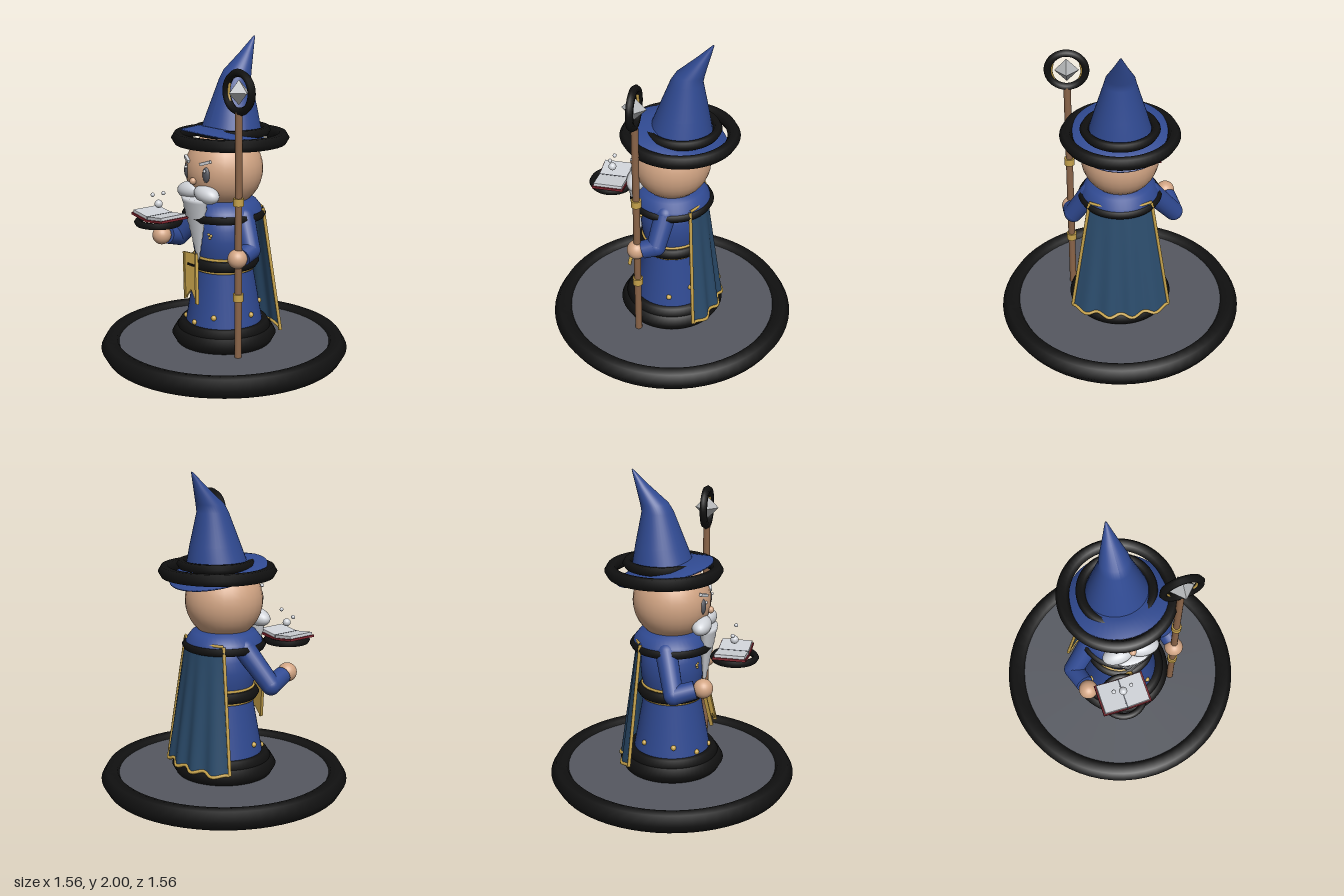
import * as THREE from 'three';

const mat = (name, color, extra = {}) => Object.assign(new THREE.MeshStandardMaterial({ color, ...extra }), { name });
const BLUE = mat('robe blue', 0x304a92);
const CAPE = mat('cape teal', 0x2b4c6c, { side: THREE.DoubleSide });
const BLACK = mat('black trim', 0x111111);
const SLATE = mat('slate grey', 0x555860);
const SKIN = mat('skin', 0xd2a584);
const WHITE = mat('pale grey', 0xd0d3d8);
const WOOD = mat('wood', 0x8a6448);
const GOLD = mat('gold', 0xc8a44c);
const RED = mat('book red', 0x7d222c);
const CRYSTAL = mat('crystal grey', 0xb0b2b4, { flatShading: true });

const V = (x, y, z) => new THREE.Vector3(x, y, z);

export function createModel() {
  const model = new THREE.Group();
  model.name = 'wizard figurine';

  const add = (name, geo, material, pos = [0, 0, 0], parent = model) => {
    const m = new THREE.Mesh(geo, material);
    m.name = name;
    m.position.set(...pos);
    parent.add(m);
    return m;
  };
  const ball = (name, r, material, pos, scale = [1, 1, 1]) => {
    const m = add(name, new THREE.SphereGeometry(r, 28, 18), material, pos);
    m.scale.set(...scale);
    return m;
  };
  // Horizontal ring with a six-sided section
  const ring = (name, R, tube, material, pos, sides = 6) =>
    add(name, new THREE.TorusGeometry(R, tube, sides, 64).rotateX(Math.PI / 2), material, pos);
  const lathe = (name, pts, material, pos) =>
    add(name, new THREE.LatheGeometry(pts.map(p => new THREE.Vector2(...p)), 48), material, pos);
  const tube = (name, pts, r, material) =>
    add(name, new THREE.TubeGeometry(new THREE.CatmullRomCurve3(pts), pts.length * 3, r, 6), material);
  const limb = (name, a, b, r1, r2) => {
    const d = b.clone().sub(a);
    const m = add(name, new THREE.CylinderGeometry(r2, r1, d.length(), 20), BLUE, a.clone().add(b).multiplyScalar(0.5).toArray());
    m.quaternion.setFromUnitVectors(V(0, 1, 0), d.normalize());
  };

  // Base
  add('baseDisc', new THREE.CylinderGeometry(0.715, 0.715, 0.09, 64), SLATE, [0, 0.047, 0]);
  ring('baseRim', 0.7155, 0.0665, BLACK, [0, 0.058, 0]);

  // Robe
  ring('lowerHem', 0.275, 0.055, BLACK, [0, 0.14, 0]);
  ring('upperHem', 0.25, 0.045, BLACK, [0, 0.192, 0]);
  lathe('skirt', [[0.255, 0.1], [0.243, 0.22], [0.18, 0.58], [0.18, 0.66]], BLUE);
  lathe('torso', [[0.178, 0.64], [0.192, 0.7], [0.198, 0.77], [0.193, 0.84], [0.17, 0.92], [0.1, 1.0]], BLUE);
  ring('belt', 0.188, 0.034, BLACK, [0, 0.615, 0]);
  for (const y of [0.577, 0.657]) ring('beltPiping', 0.186, 0.009, GOLD, [0, y, 0]);
  lathe('collar', [[0.245, 0.92], [0.235, 0.96], [0.2, 1.005], [0.13, 1.03], [0.0, 1.03]], BLUE);
  ring('collarTrim', 0.236, 0.026, BLACK, [0, 0.922, 0]);

  // Gold studs round the skirt: angle from the front, height
  for (const [a, y] of [[-0.63, 0.25], [0, 0.25], [0.6, 0.3], [1.7, 0.3], [2.35, 0.35], [-1.3, 0.3], [-2.2, 0.3]]) {
    const r = 0.243 - (y - 0.22) * 0.175;
    ball('stud', 0.017, GOLD, [r * Math.sin(a), y, r * Math.cos(a)]);
  }
  for (const s of [-1, 1]) for (const [x, y] of [[0.08, 0.8], [0.07, 0.82], [0.09, 0.815]])
    ball('chestStud', 0.009, GOLD, [s * x, y, 0.178]);

  // Hanging sash with a forked end
  const sash = new THREE.Group();
  sash.name = 'sash';
  sash.position.set(0, 0.6, 0.228);
  sash.rotation.x = -0.16;
  model.add(sash);
  const sashShape = new THREE.Shape([[-0.12, 0.08], [-0.05, -0.2], [-0.005, -0.135], [0.07, -0.215], [0, 0.09]]
    .map(p => new THREE.Vector2(...p)));
  add('sashCloth', new THREE.ExtrudeGeometry(sashShape, { depth: 0.012, bevelEnabled: false }), GOLD, [0, 0, 0], sash);
  for (const [x1, y1, x2, y2] of [[-0.115, 0.08, -0.048, -0.2], [-0.002, 0.09, 0.065, -0.21]]) {
    const bar = add('sashEdge', new THREE.BoxGeometry(0.012, Math.hypot(x2 - x1, y2 - y1), 0.022), GOLD,
      [(x1 + x2) / 2, (y1 + y2) / 2, 0.008], sash);
    bar.rotation.z = Math.atan2(x2 - x1, y1 - y2);
  }
  add('buckle', new THREE.BoxGeometry(0.06, 0.012, 0.012), BLACK, [-0.03, 0.015, 0.015], sash);

  // Cape: u runs across (-1..1), t from shoulders to hem
  const capePoint = (u, t) => {
    const edge = -0.155 - 0.06 * t, back = -0.215 - 0.1 * t;
    const fold = 0.012 * t * Math.cos(u * 13);
    return V(u * (0.19 + 0.12 * t), 0.96 - 0.785 * t + 0.01 * t * Math.cos(u * 13), edge + (back - edge) * (1 - u * u) + fold);
  };
  const capeGeo = new THREE.PlaneGeometry(2, 1, 40, 12);
  const cp = capeGeo.attributes.position;
  for (let i = 0; i < cp.count; i++) cp.setXYZ(i, ...capePoint(cp.getX(i), 0.5 - cp.getY(i)).toArray());
  capeGeo.computeVertexNormals();
  add('cape', capeGeo, CAPE);
  const steps = n => Array.from({ length: n + 1 }, (_, i) => i / n);
  for (const s of [-1, 1]) tube('capeSidePiping', steps(8).map(t => capePoint(s, t)), 0.011, GOLD);
  tube('capeHemPiping', steps(30).map(k => capePoint(2 * k - 1, 1)), 0.011, GOLD);
  tube('capeNeckPiping', steps(12).map(k => capePoint(2 * k - 1, 0)), 0.009, GOLD);

  // Arms and hands: shoulder, elbow, wrist, hand
  for (const [side, sh, el, wr, hand] of [
    ['right', V(-0.19, 0.92, 0.01), V(-0.345, 0.71, 0.09), V(-0.31, 0.745, 0.215), [-0.3, 0.755, 0.262]],
    ['left', V(0.19, 0.92, 0), V(0.295, 0.745, 0.035), V(0.31, 0.72, 0.115), [0.312, 0.716, 0.155]],
  ]) {
    limb(side + 'UpperSleeve', sh, el, 0.068, 0.06);
    limb(side + 'LowerSleeve', el, wr, 0.06, 0.056);
    ball(side + 'Shoulder', 0.068, BLUE, sh.toArray());
    ball(side + 'Elbow', 0.06, BLUE, el.toArray());
    ball(side + 'Hand', 0.06, SKIN, hand);
  }

  // Head and face
  ball('head', 0.242, SKIN, [0, 1.2, 0]);
  ball('nose', 0.022, SKIN, [0, 1.152, 0.243]);
  for (const s of [-1, 1]) {
    ball('eye', 0.05, SLATE, [s * 0.09, 1.2, 0.212], [0.56, 1, 0.4]);
    ball('eyeGlint', 0.009, WHITE, [s * 0.09 + 0.006, 1.225, 0.232]);
    const brow = add('brow', new THREE.BoxGeometry(0.075, 0.018, 0.02), WHITE, [s * 0.088, 1.272, 0.218]);
    brow.rotation.set(0, s * 0.35, s * 0.3);
    const tash = ball('moustache', 0.1, WHITE, [s * 0.083, 1.077, 0.205], [0.98, 0.55, 0.6]);
    tash.rotation.z = -s * 0.12;
  }
  // Beard: a tapering, ridged cone flattened front to back
  const beardPts = [[0, 0]];
  for (let i = 0; i <= 18; i++) beardPts.push([0.006 + 0.104 * (i / 18) + (i % 2) * 0.005, 0.4 * i / 18]);
  beardPts.push([0, 0.4]);
  const beard = lathe('beard', beardPts, WHITE, [0, 0.65, 0.205]);
  beard.scale.z = 0.48;
  beard.rotation.x = 0.07;

  // Hat: sections of height, radius, backward offset
  const hat = [[1.42, 0.192, -0.053], [1.55, 0.156, -0.068], [1.75, 0.097, -0.088], [1.8, 0.086, -0.108],
    [1.9, 0.043, -0.178], [1.995, 0.006, -0.24], [2.0, 0, -0.243]];
  const hatGeo = new THREE.LatheGeometry(hat.map(([y, r]) => new THREE.Vector2(r, y)), 40);
  const hp = hatGeo.attributes.position;
  for (let i = 0; i < hp.count; i++) hp.setZ(i, hp.getZ(i) + hat[i % hat.length][2]);
  hatGeo.computeVertexNormals();
  add('hatCone', hatGeo, BLUE);
  ring('hatBand', 0.212, 0.029, BLACK, [0, 1.435, -0.062]);
  const brim = lathe('hatBrim', [[0, 0.005], [0.2, 0], [0.305, -0.03], [0.305, -0.02], [0.2, 0.022], [0, 0.03]], BLUE, [0, 1.405, -0.05]);
  brim.rotation.x = -0.24;
  ring('hatRing', 0.324, 0.04, BLACK, [0, 1.39, -0.05]);

  // Staff
  const sx = 0.315, sz = 0.15;
  add('staffShaft', new THREE.CylinderGeometry(0.022, 0.022, 1.52, 16), WOOD, [sx, 0.84, sz]);
  for (const y of [0.475, 1.065]) add('staffBand', new THREE.CylinderGeometry(0.032, 0.032, 0.046, 16), GOLD, [sx, y, sz]);
  add('staffRing', new THREE.TorusGeometry(0.112, 0.024, 6, 48), BLACK, [sx, 1.715, sz]);
  add('staffCrystal', new THREE.OctahedronGeometry(0.074), CRYSTAL, [sx, 1.715, sz]);
  for (const s of [-1, 1])
    tube('staffClaw', [[0.035, -0.11], [0.065, -0.08], [0.09, -0.02], [0.082, 0.055]].map(([x, y]) => V(sx + s * x, 1.715 + y, sz)), 0.009, GOLD);

  // Floating open book
  ring('bookRing', 0.127, 0.021, BLACK, [-0.12, 0.905, 0.418]);
  for (const s of [-1, 1]) {
    const half = new THREE.Group();
    half.name = 'bookHalf';
    half.position.set(-0.12, 0.92, 0.41);
    half.rotation.z = s * 0.13;
    model.add(half);
    add('bookCover', new THREE.BoxGeometry(0.156, 0.014, 0.2), RED, [s * 0.078, 0.002, 0], half);
    add('bookPages', new THREE.BoxGeometry(0.142, 0.018, 0.184), WHITE, [s * 0.075, 0.018, 0], half);
  }
  add('bookSpine', new THREE.BoxGeometry(0.008, 0.03, 0.19), SLATE, [-0.12, 0.934, 0.41]);
  for (const [x, y, r] of [[-0.12, 1.015, 0.025], [-0.18, 1.06, 0.013], [-0.07, 1.09, 0.012]])
    ball('magicOrb', r, WHITE, [x, y, 0.415]);

  return model;
}
